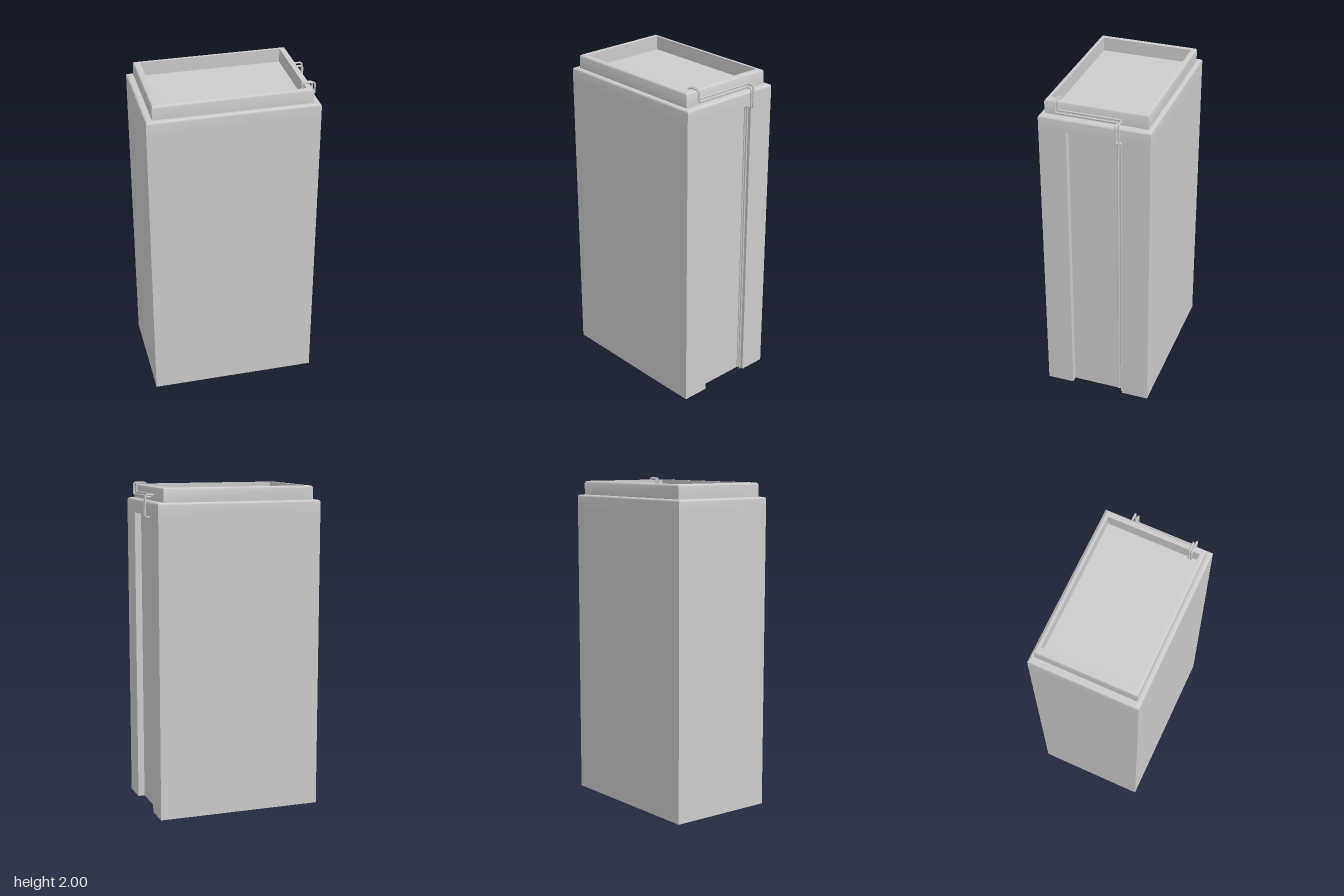
import * as THREE from 'three';
import { mergeGeometries, toCreasedNormals } from 'three/addons/utils/BufferGeometryUtils.js';

const grey = new THREE.MeshStandardMaterial({ color: 0xcccccc, side: THREE.DoubleSide });
const CX = -0.02, HX = 0.51, HZ = 0.333; // body centre and half sizes

// Rectangular outline at height y, inset by ix and iz, with a notch in the +x side
function ring(y, ix, iz, notch = 0) {
  const x0 = CX - HX + ix, x1 = CX + HX - ix, z = HZ - iz, n = z / 2;
  return [[x1, z], [x1, n], [x1 - notch, n], [x1 - notch, -n], [x1, -n], [x1, -z], [x0, -z], [x0, z]]
    .map(([x, pz]) => new THREE.Vector3(x, y, pz));
}

// Skin a stack of outlines, leaving out empty triangles
function skin(rings) {
  const pos = [];
  const tri = (a, b, c) => {
    if (new THREE.Triangle(a, b, c).getArea() > 1e-8) for (const p of [a, b, c]) pos.push(p.x, p.y, p.z);
  };
  for (let i = 0; i + 1 < rings.length; i++) {
    const lo = rings[i], hi = rings[i + 1];
    for (let j = 0; j < lo.length; j++) {
      const k = (j + 1) % lo.length;
      tri(lo[j], lo[k], hi[k]);
      tri(lo[j], hi[k], hi[j]);
    }
  }
  const g = new THREE.BufferGeometry();
  g.setAttribute('position', new THREE.Float32BufferAttribute(pos, 3));
  return toCreasedNormals(g, 0.6);
}

// Quarter-round top edge as a few outlines
function roundedEdge(top, ix, iz, r = 0.014, steps = 4) {
  return Array.from({ length: steps + 1 }, (_, i) => {
    const a = (i / steps) * Math.PI / 2, d = r * (1 - Math.cos(a));
    return ring(top - r + r * Math.sin(a), ix + d, iz + d);
  });
}

// Pipe along straight runs joined by small round bends
function pipe(points, radius = 0.0055, bend = 0.014) {
  const p = points.map((v) => new THREE.Vector3(...v));
  const parts = [];
  let from = p[0];
  for (let i = 1; i < p.length; i++) {
    let to = p[i];
    if (i < p.length - 1) {
      const toward = (q) => p[i].clone().add(q.clone().sub(p[i]).setLength(bend));
      to = toward(p[i - 1]);
      const out = toward(p[i + 1]);
      parts.push(new THREE.TubeGeometry(new THREE.QuadraticBezierCurve3(to, p[i], out), 6, radius, 10));
      parts.push(new THREE.TubeGeometry(new THREE.LineCurve3(from, to), 1, radius, 10));
      from = out;
    } else {
      parts.push(new THREE.TubeGeometry(new THREE.LineCurve3(from, to), 1, radius, 10));
    }
  }
  return mergeGeometries(parts);
}

export function createModel() {
  const model = new THREE.Group();
  const add = (name, geometry) => {
    const mesh = new THREE.Mesh(geometry, grey);
    mesh.name = name;
    model.add(mesh);
  };

  // Tower walls, open below, with a tall recess in one side and a ledge on top
  add('towerBody', skin([
    ring(0, 0, 0, 0.04), ring(1.817, 0, 0, 0.04), ring(1.817, 0, 0),
    ...roundedEdge(1.9, 0, 0),
    ring(1.9, 0.04, 0.026),
  ]));

  // Raised parapet around the sunken roof
  add('parapet', skin([
    ring(1.9, 0.04, 0.026),
    ...roundedEdge(1.985, 0.04, 0.026),
    ring(1.985, 0.08, 0.053), ring(1.9, 0.08, 0.053),
  ]));
  add('roof', skin([ring(1.9, 0.08, 0.053), ring(1.9, HX, HZ)]));

  // Two pipes: over the parapet, along the ledge, around the edge and down the recess
  const routes = [
    { x: 0.462, y: 1.938, zTop: 0.221, zDown: -0.157, end: 0 },
    { x: 0.474, y: 1.925, zTop: 0.236, zDown: -0.138, end: 0.02 },
  ];
  routes.forEach(({ x, y, zTop, zDown, end }, i) => add('pipe' + (i + 1), pipe([
    [0.4, 1.9, zTop], [0.4, 1.994, zTop], [x, 1.994, zTop], [x, y, zTop],
    [x, y, zDown], [0.516, y, zDown], [0.516, 1.807, zDown],
    [0.472, 1.807, zDown], [0.472, end, zDown],
  ])));

  return model;
}
